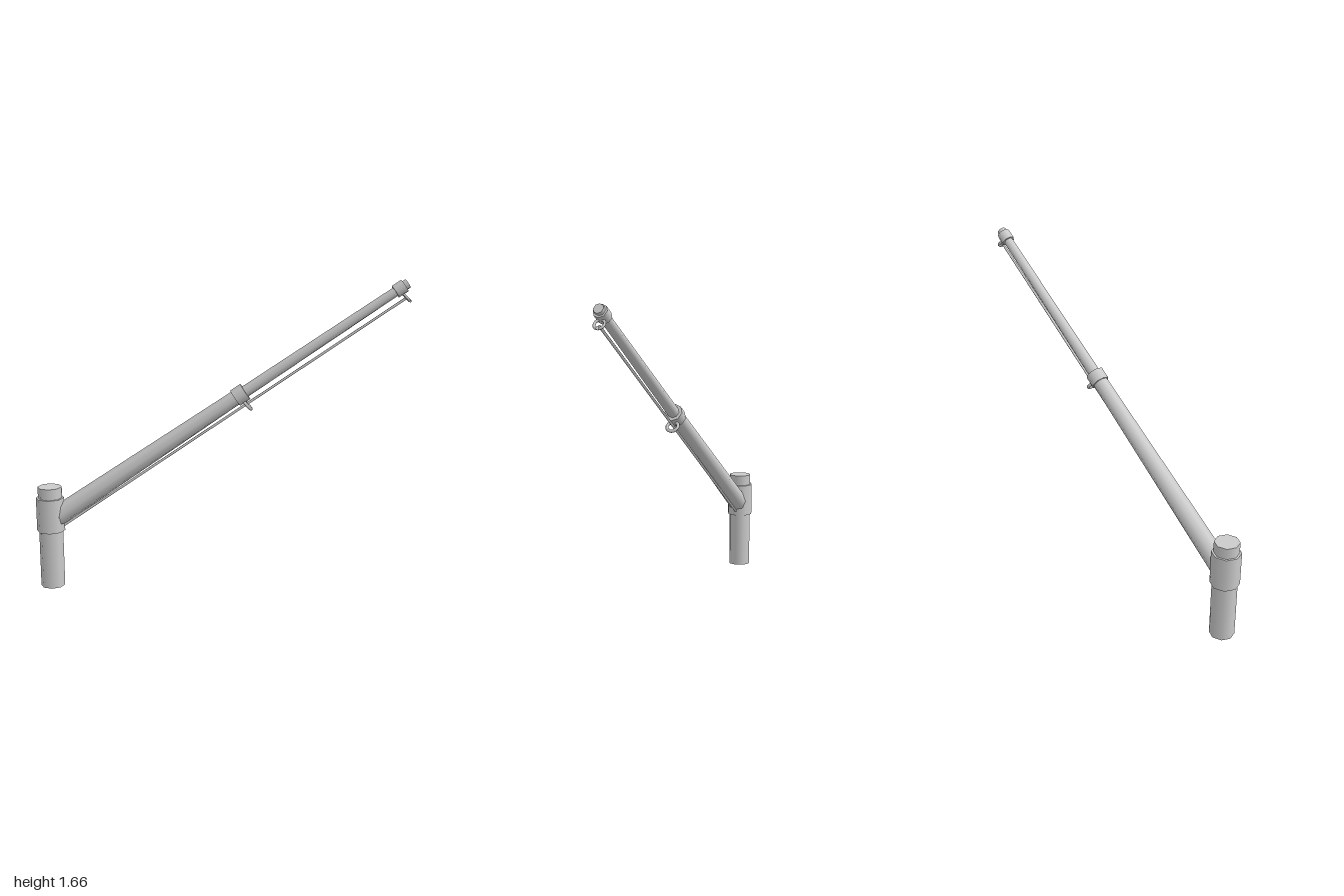
import * as THREE from 'three';

const material = new THREE.MeshStandardMaterial({ color: 0xcccccc });

export function createModel() {
  const group = new THREE.Group();
  const add = (parent, name, geometry, x = 0, y = 0, z = 0) => {
    const mesh = new THREE.Mesh(geometry, material);
    mesh.name = name;
    mesh.position.set(x, y, z);
    parent.add(mesh);
    return mesh;
  };

  // Upright post with the octagonal sleeve that carries the boom
  const postX = -0.925;
  add(group, 'post', new THREE.CylinderGeometry(0.065, 0.065, 0.56, 8), postX, 0.28);
  add(group, 'sleeve', new THREE.CylinderGeometry(0.076, 0.076, 0.185, 8), postX, 0.4075);

  // Boom, built along its own y axis from the post centre and then tilted
  const foot = new THREE.Vector3(postX, 0.369, 0);
  const tip = new THREE.Vector3(0.97, 1.643, 0);
  const axis = tip.clone().sub(foot);
  const length = axis.length();
  const boom = new THREE.Group();
  boom.name = 'boom';
  boom.position.copy(foot);
  boom.rotation.z = -Math.atan2(axis.x, axis.y);
  group.add(boom);

  const tube = (name, from, to, r0, r1) =>
    add(boom, name, new THREE.CylinderGeometry(r1, r0, to - from, 8), 0, (from + to) / 2);
  const mid = 1.235;
  tube('lowerBoom', 0.035, mid, 0.056, 0.04);
  tube('upperBoom', mid, length - 0.04, 0.032, 0.025);
  tube('middleCollar', mid - 0.032, mid + 0.032, 0.049, 0.049);
  tube('tipCollar', length - 0.078, length - 0.02, 0.036, 0.036);
  tube('tipCap', length - 0.03, length, 0.026, 0.026);

  // Guide rings hanging below the collars, with the line running through them
  const ring = (name, x, y, radius, thickness, tilt) => {
    const mesh = add(group, name, new THREE.TorusGeometry(radius, thickness, 6, 12), x, y);
    mesh.rotation.set(0, Math.PI / 2, tilt, 'ZYX');
  };
  ring('middleRing', 0.138, 1.003, 0.03, 0.009, 0.74);
  ring('tipRing', 0.962, 1.573, 0.026, 0.007, 0.74);

  // Line running below the boom, with a short drooping end past the tip ring
  const line = new THREE.CurvePath();
  const points = [[-0.9, 0.312], [0.958, 1.563], [0.975, 1.563], [0.99, 1.547]]
    .map(([x, y]) => new THREE.Vector3(x, y, 0));
  for (let i = 0; i < points.length - 1; i++) line.add(new THREE.LineCurve3(points[i], points[i + 1]));
  line.curves.forEach((part, i) =>
    add(group, i ? 'lineEnd' : 'line', new THREE.TubeGeometry(part, 1, 0.007, 6)));

  return group;
}
